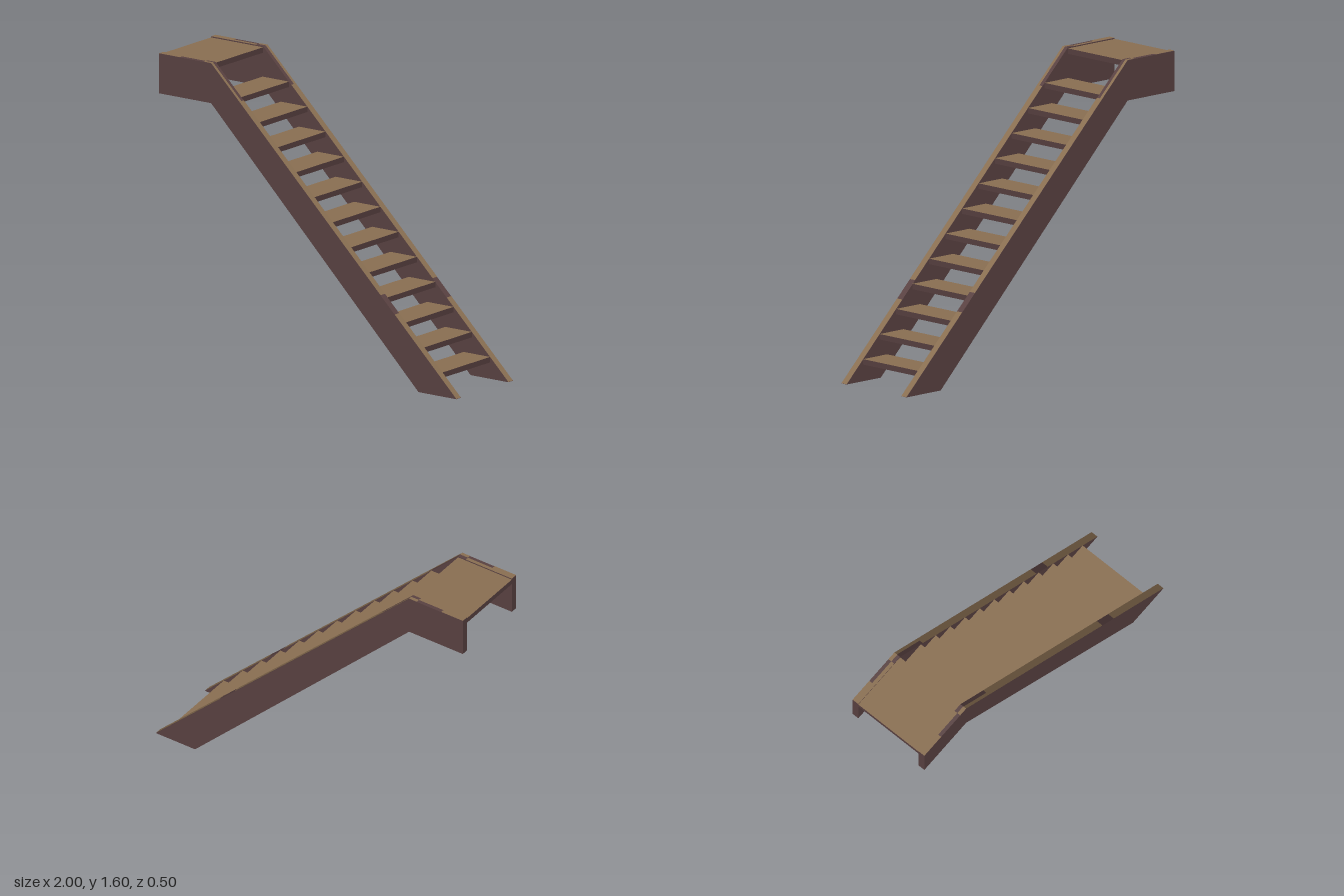
import * as THREE from 'three';

export function createModel() {
  const tan = new THREE.MeshStandardMaterial({ name: 'tanWood', color: 0x8b7052 });
  const dark = new THREE.MeshStandardMaterial({ name: 'darkWood', color: 0x5a4242 });
  const model = new THREE.Group();
  model.name = 'staircase';

  const add = (name, geometry, material, x, y, z) => {
    const mesh = new THREE.Mesh(geometry, material);
    mesh.name = name;
    mesh.position.set(x, y, z);
    model.add(mesh);
    return mesh;
  };

  // Boards with tan broad faces and dark edges
  const boardMaterials = [dark, dark, tan, tan, dark, dark];
  const board = (name, x0, x1, top) => add(name,
    new THREE.BoxGeometry(x1 - x0, 0.03, 0.42), boardMaterials,
    (x0 + x1) / 2, top - 0.015, 0);

  board('landing', -1, -0.65, 1.595);
  for (let i = 0; i < 12; i++) {
    const nose = 0.877 - i * 0.123;
    board('tread' + (i + 1), nose - 0.178, nose, 0.121 + i * 0.1192);
  }

  // Side stringers: level at the landing, then sloping to the floor
  const profile = new THREE.Shape([
    [-1, 1.38], [-0.65, 1.38], [0.745, 0], [1, 0], [-0.65, 1.6], [-1, 1.6],
  ].map(([x, y]) => new THREE.Vector2(x, y)));
  const stringer = new THREE.ExtrudeGeometry(profile, { depth: 0.04, bevelEnabled: false });

  // Height of the stringer's top edge
  const topAt = (x) => (x <= -0.65 ? 1.6 : 1.6 * (1 - x) / 1.65);

  // Tan faces along the top edge: [x start, x end, z inner, z outer]
  const strips = [
    [-1, -0.86, 0.21, 0.25],
    [-0.86, -0.7, 0.21, 0.23],
    [-0.7, -0.65, 0.23, 0.25],
    [-0.65, -0.46, 0.232, 0.25],
    [-0.46, 0.49, 0.21, 0.25],
    [0.585, 1, 0.21, 0.25],
  ];

  for (const side of [1, -1]) {
    const label = side > 0 ? 'front' : 'back';
    add(label + 'Stringer', stringer, dark, 0, 0, side > 0 ? 0.21 : -0.25);
    for (const [x0, x1, z0, z1] of strips) {
      const y0 = topAt(x0), y1 = topAt(x1);
      const face = new THREE.PlaneGeometry(Math.hypot(x1 - x0, y1 - y0), z1 - z0);
      face.rotateX(-Math.PI / 2);
      face.rotateZ(Math.atan2(y1 - y0, x1 - x0));
      add(label + 'StringerTop', face, tan,
        (x0 + x1) / 2, (y0 + y1) / 2 + 0.0015, side * (z0 + z1) / 2);
    }
  }
  return model;
}
